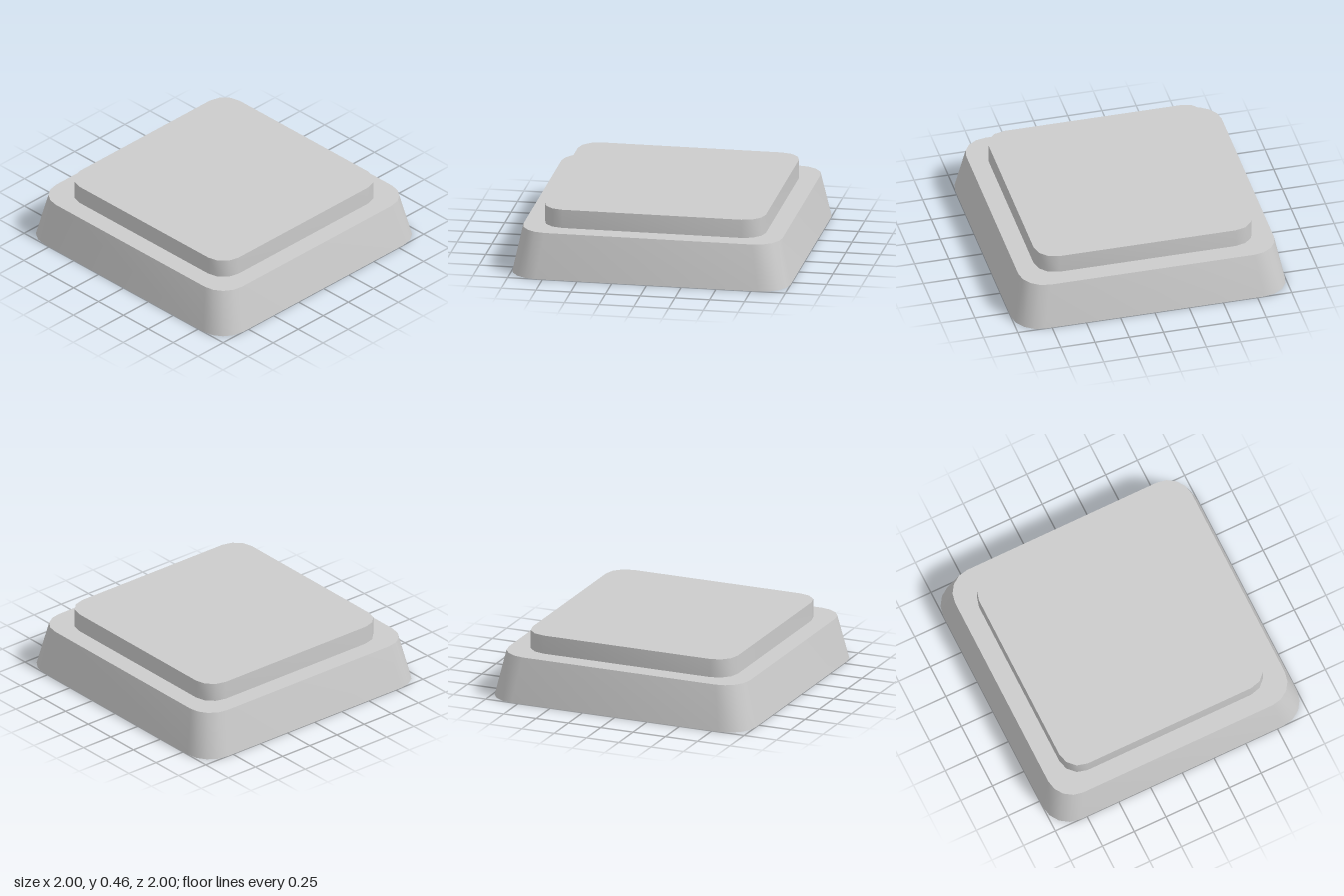
import * as THREE from 'three';
import { toCreasedNormals } from 'three/addons/utils/BufferGeometryUtils.js';

// Rounded square slab standing on y = 0, narrowing towards the top by the factor taper
function roundedSlab(half, radius, segments, height, taper = 1) {
  const points = [];
  const c = half - radius;
  [[1, 1], [-1, 1], [-1, -1], [1, -1]].forEach(([sx, sy], corner) => {
    for (let i = 0; i <= segments; i++) {
      const a = (corner + i / segments) * Math.PI / 2;
      points.push(new THREE.Vector2(sx * c + radius * Math.cos(a), sy * c + radius * Math.sin(a)));
    }
  });
  const geometry = new THREE.ExtrudeGeometry(new THREE.Shape(points), { depth: height, bevelEnabled: false });
  geometry.rotateX(-Math.PI / 2);
  const p = geometry.attributes.position;
  for (let i = 0; i < p.count; i++) {
    const s = 1 + (taper - 1) * p.getY(i) / height;
    p.setX(i, p.getX(i) * s);
    p.setZ(i, p.getZ(i) * s);
  }
  return toCreasedNormals(geometry, 0.62);
}

export function createModel() {
  const group = new THREE.Group();
  const material = new THREE.MeshStandardMaterial({ color: 0xcccccc });

  // Tapered lower block
  const base = new THREE.Mesh(roundedSlab(1, 0.2, 4, 0.325, 0.933), material);
  base.name = 'base';

  // Straight-sided raised plate
  const plate = new THREE.Mesh(roundedSlab(0.795, 0.15, 3, 0.135), material);
  plate.name = 'topPlate';
  plate.position.y = 0.325;

  group.add(base, plate);
  return group;
}
